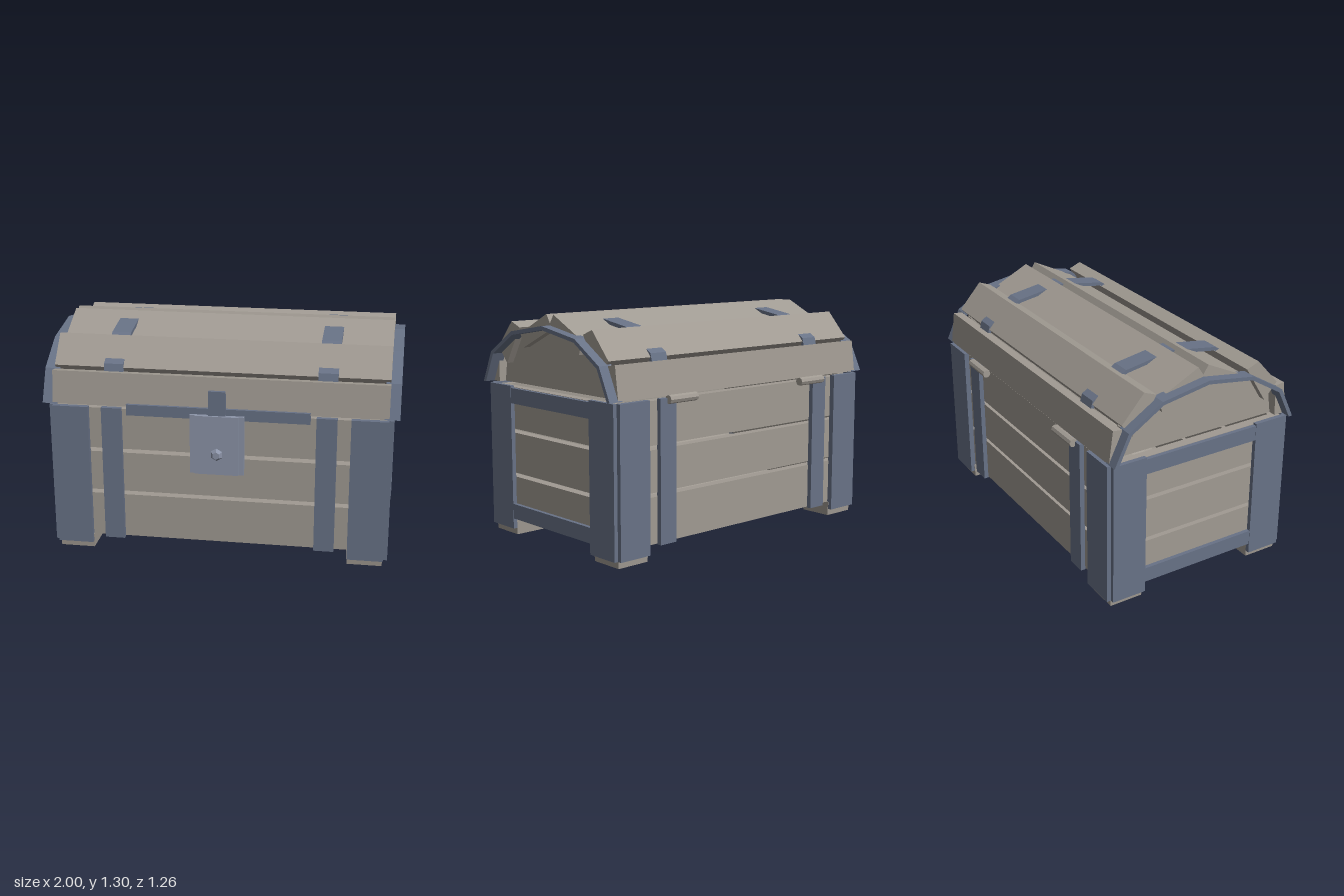
import * as THREE from 'three';

export function createModel() {
  const wood = new THREE.MeshStandardMaterial({ color: 0xa09a92, flatShading: true });
  wood.name = 'weathered wood';
  const iron = new THREE.MeshStandardMaterial({ color: 0x687286, flatShading: true });
  iron.name = 'dark iron';
  const steel = new THREE.MeshStandardMaterial({ color: 0x8c94a8, flatShading: true });
  steel.name = 'lock steel';

  const root = new THREE.Group();
  root.name = 'chest';
  const body = new THREE.Group();
  body.name = 'body';
  const lid = new THREE.Group();
  lid.name = 'lid';
  // body and lid sit a touch behind the origin because the lock protrudes
  body.position.z = lid.position.z = -0.012;
  root.add(body, lid);

  const add = (parent, name, geometry, material) => {
    const mesh = new THREE.Mesh(geometry, material);
    mesh.name = name;
    parent.add(mesh);
    return mesh;
  };
  // box given by its limits on each axis
  const box = (parent, name, material, x0, x1, y0, y1, z0, z1) => {
    const mesh = add(parent, name, new THREE.BoxGeometry(Math.abs(x1 - x0), y1 - y0, Math.abs(z1 - z0)), material);
    mesh.position.set((x0 + x1) / 2, (y0 + y1) / 2, (z0 + z1) / 2);
    return mesh;
  };
  // outline of [z, y] points extruded along x
  const alongX = (parent, name, material, points, x0, x1) => {
    const shape = new THREE.Shape(points.map(([z, y]) => new THREE.Vector2(-z, y)));
    const geometry = new THREE.ExtrudeGeometry(shape, { depth: x1 - x0, bevelEnabled: false });
    geometry.rotateY(Math.PI / 2);
    geometry.translate(x0, 0, 0);
    return add(parent, name, geometry, material);
  };
  const mirrored = (half) => [...half, ...half.slice(0, -1).reverse().map(([z, y]) => [-z, y])];

  // floor board
  box(body, 'floor', wood, -0.93, 0.93, 0.085, 0.1, -0.555, 0.555);

  // three rows of planks with open gaps on all four walls
  for (const [y0, y1] of [[0.1, 0.345], [0.368, 0.602], [0.625, 0.865]]) {
    for (const s of [-1, 1]) {
      box(body, 'longPlank', wood, -0.94, 0.94, y0, y1, s * 0.5, s * 0.558);
      box(body, 'endPlank', wood, s * 0.885, s * 0.94, y0, y1, -0.5, 0.5);
    }
  }

  // heap of contents glimpsed through the gaps
  const heap = add(body, 'heap', new THREE.LatheGeometry(
    [[0.45, 0.1], [0.29, 0.35], [0.12, 0.61], [0, 0.68]].map(([r, y]) => new THREE.Vector2(r, y)), 14), wood);
  heap.scale.x = 1.9;

  for (const sx of [-1, 1]) {
    // iron frame on each end
    for (const sz of [-1, 1]) {
      box(body, 'endPost', iron, sx * 0.94, sx * 0.965, 0.04, 0.875, sz * 0.358, sz * 0.563);
    }
    box(body, 'endTopRail', iron, sx * 0.94, sx * 0.963, 0.775, 0.863, -0.36, 0.36);
    box(body, 'endBottomRail', iron, sx * 0.94, sx * 0.963, 0.1, 0.187, -0.36, 0.36);

    for (const sz of [-1, 1]) {
      // corner plates, vertical straps and tapered feet
      box(body, 'cornerPlate', iron, sx * 0.738, sx * 0.942, 0.04, 0.875, sz * 0.556, sz * 0.588);
      box(body, 'strap', iron, sx * 0.548, sx * 0.662, 0.08, 0.875, sz * 0.556, sz * 0.585);
      const foot = add(body, 'foot', new THREE.CylinderGeometry(0.148, 0.14, 0.085, 4, 1).rotateY(Math.PI / 4), wood);
      foot.position.set(sx * 0.837, 0.0425, sz * 0.462);
    }

    // hinge barrel at the back
    const hinge = add(body, 'hinge', new THREE.CylinderGeometry(0.024, 0.024, 0.2, 8).rotateZ(Math.PI / 2), wood);
    hinge.position.set(sx * 0.515, 0.868, -0.594);
  }

  // lid planks, one front half mirrored to the back
  const lidPlanks = [
    [[0.576, 0.885], [0.552, 1.072], [0.497, 1.065], [0.5, 0.885]],
    [[0.5, 1.088], [0.366, 1.24], [0.29, 1.21], [0.42, 0.998]],
    [[0.28, 1.178], [0.032, 1.3], [0, 1.252], [0, 1.215], [0.253, 1.1]],
  ];
  for (const s of [-1, 1]) {
    for (const p of lidPlanks) {
      alongX(lid, 'lidPlank', wood, p.map(([z, y]) => [s * z, y]), -0.942, 0.942);
    }
  }

  // arched iron bands: outer line followed by inner line
  const arch = (name, outer, inner, x0, x1) =>
    alongX(lid, name, iron, [...mirrored(outer), ...mirrored(inner).reverse()], x0, x1);
  const endPanel = mirrored([[0.5, 0.885], [0.475, 1.05], [0.283, 1.17], [0, 1.215]]);
  for (const s of [-1, 1]) {
    const span = (a, b) => (s > 0 ? [a, b] : [-b, -a]);
    arch('lidEndBand',
      [[0.578, 0.885], [0.493, 1.066], [0.29, 1.192], [0, 1.24]],
      [[0.555, 0.885], [0.475, 1.052], [0.283, 1.172], [0, 1.218]], ...span(0.915, 1));
    arch('lidStrap',
      [[0.555, 0.9], [0.498, 1.108], [0.291, 1.236], [0, 1.283]],
      [[0.535, 0.9], [0.482, 1.094], [0.285, 1.216], [0, 1.263]], ...span(0.546, 0.656));
    alongX(lid, 'lidEndPanel', wood, endPanel, ...span(0.86, 0.9));
  }

  // lock: crossbar, hasp, plate and knob
  const lock = new THREE.Group();
  lock.name = 'lock';
  root.add(lock);
  box(lock, 'crossbar', iron, -0.515, 0.515, 0.84, 0.903, 0.55, 0.58);
  box(lock, 'hasp', iron, -0.048, 0.048, 0.8, 1.008, 0.575, 0.595);
  box(lock, 'lockPlate', steel, -0.152, 0.152, 0.525, 0.868, 0.577, 0.598);
  box(lock, 'lockPlateFace', steel, -0.122, 0.122, 0.525, 0.868, 0.59, 0.608);
  const knob = add(lock, 'knob', new THREE.CylinderGeometry(0.022, 0.042, 0.03, 6).rotateX(Math.PI / 2), steel);
  knob.position.set(0, 0.645, 0.615);

  return root;
}
